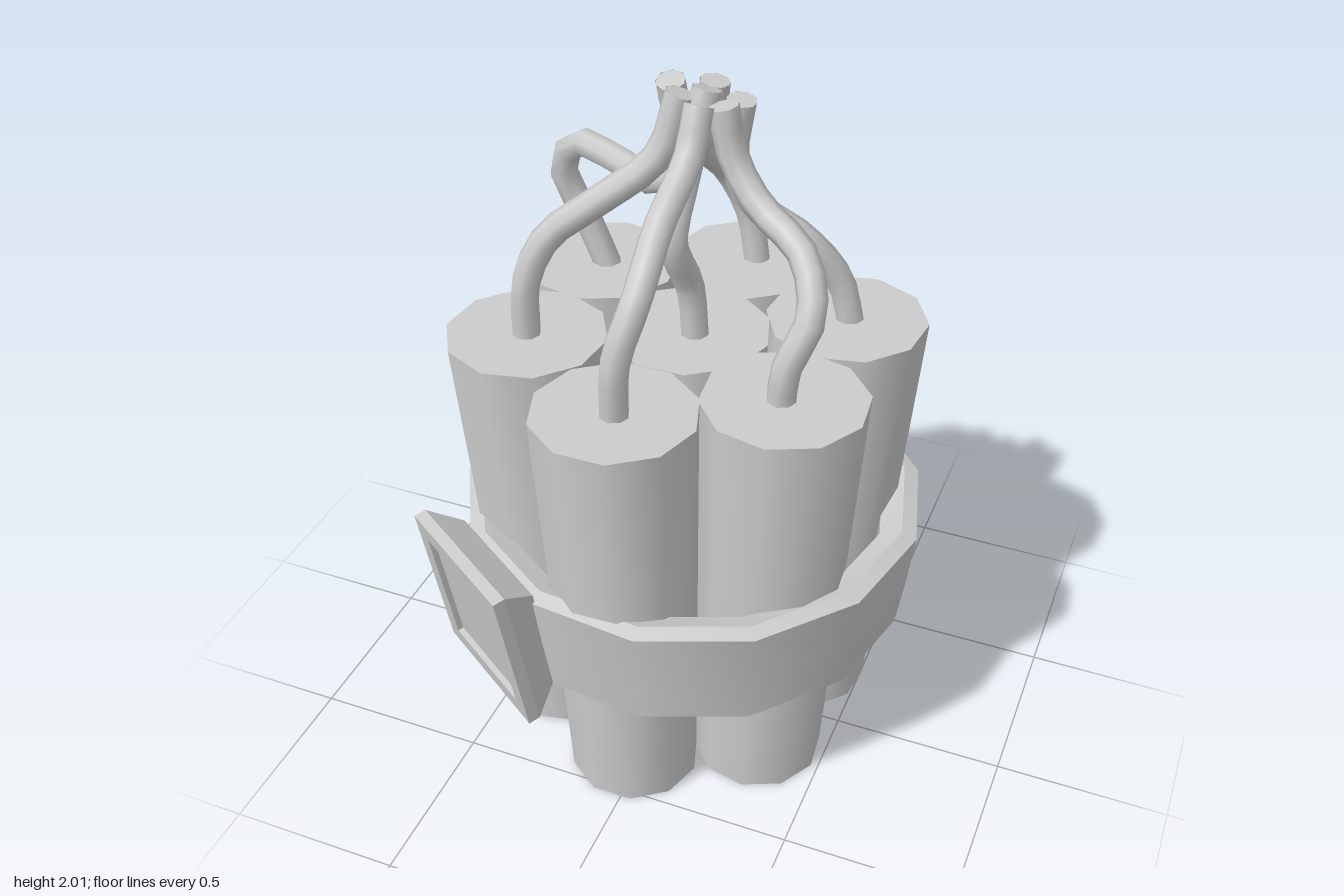
import * as THREE from 'three';
import { toCreasedNormals } from 'three/addons/utils/BufferGeometryUtils.js';

const material = new THREE.MeshStandardMaterial({ color: 0xcccccc });
const doubleMaterial = new THREE.MeshStandardMaterial({ color: 0xcccccc, side: THREE.DoubleSide });

function add(parent, name, geometry, mat = material) {
  const mesh = new THREE.Mesh(geometry, mat);
  mesh.name = name;
  parent.add(mesh);
  return mesh;
}

// Tapered ten-sided stick whose foot leans in towards the middle of the bundle
function stickGeometry(x, z, turn) {
  const height = 1.305, foot = 0.84;
  const g = new THREE.CylinderGeometry(0.225, 0.225 * foot, height, 10);
  g.rotateY(Math.PI / 10 + turn);
  g.translate(0, height / 2, 0);
  const p = g.attributes.position;
  for (let i = 0; i < p.count; i++) {
    const s = foot + (1 - foot) * p.getY(i) / height;
    p.setX(i, p.getX(i) + x * s);
    p.setZ(i, p.getZ(i) + z * s);
  }
  return g;
}

// Bent wire with a closed upper end
function addWire(parent, points) {
  const curve = new THREE.CatmullRomCurve3(points.map(p => new THREE.Vector3(...p)));
  const wire = new THREE.Group();
  wire.name = 'wire';
  add(wire, 'wireTube', new THREE.TubeGeometry(curve, 14, 0.04, 8), doubleMaterial);
  const cap = add(wire, 'wireEnd', new THREE.CircleGeometry(0.04, 8), doubleMaterial);
  const end = curve.getPoint(1);
  cap.position.copy(end);
  cap.lookAt(end.clone().add(curve.getTangent(1)));
  parent.add(wire);
}

function rectangle(PathType, w, h) {
  const p = new PathType();
  p.moveTo(-w / 2, -h / 2);
  p.lineTo(w / 2, -h / 2);
  p.lineTo(w / 2, h / 2);
  p.lineTo(-w / 2, h / 2);
  p.closePath();
  return p;
}

export function createModel() {
  const model = new THREE.Group();
  model.name = 'stickBundle';

  // Six sticks around a central one
  const centres = [
    [-0.035, 0.41], [0.35, 0.195], [0.38, -0.235],
    [0.015, -0.43], [-0.37, -0.27], [-0.405, 0.16],
  ];
  centres.forEach(([x, z], i) => add(model, 'stick', stickGeometry(x, z, i * Math.PI / 3)));
  add(model, 'centreStick', stickGeometry(0, -0.02, 0));

  // Flared strap with thirteen sides
  const profile = [
    [0.54, 0.45], [0.6, 0.43], [0.632, 0.415], [0.655, 0.58],
    [0.672, 0.735], [0.63, 0.75], [0.565, 0.725], [0.54, 0.45],
  ].map(p => new THREE.Vector2(...p));
  const strapGeometry = new THREE.LatheGeometry(profile, 13, THREE.MathUtils.degToRad(174));
  const strap = add(model, 'strap', toCreasedNormals(strapGeometry, 0.6), doubleMaterial);
  strap.position.z = -0.05;

  // Buckle: framed plate on a tapered block, tilted like the strap
  const buckle = new THREE.Group();
  buckle.name = 'buckle';
  const frameShape = rectangle(THREE.Shape, 0.45, 0.49);
  frameShape.holes.push(rectangle(THREE.Path, 0.34, 0.38));
  const frame = add(buckle, 'buckleFrame',
    new THREE.ExtrudeGeometry(frameShape, { depth: 0.035, bevelEnabled: false }));
  frame.position.z = -0.035;
  const panel = add(buckle, 'bucklePanel', new THREE.BoxGeometry(0.36, 0.4, 0.02));
  panel.position.z = -0.027;
  const blockGeometry = new THREE.BoxGeometry(0.45, 0.49, 0.09);
  const bp = blockGeometry.attributes.position;
  for (let i = 0; i < bp.count; i++) {
    if (bp.getZ(i) < 0) bp.setXYZ(i, bp.getX(i) * 0.85, bp.getY(i) * 0.68, bp.getZ(i));
  }
  blockGeometry.computeVertexNormals();
  add(buckle, 'buckleBlock', blockGeometry).position.z = -0.08;
  buckle.position.set(-0.427, 0.577, 0.553);
  buckle.rotation.order = 'YXZ';
  buckle.rotation.set(0.16, -0.588, 0);
  model.add(buckle);

  // Wires rising from the sticks and gathering at the top
  const wires = [
    [[-0.03, 1.28, 0.42], [-0.02, 1.47, 0.425], [0.015, 1.62, 0.37], [0.02, 1.76, 0.23], [0.035, 1.87, 0.08], [0.04, 1.99, 0.02]],
    [[-0.405, 1.28, 0.16], [-0.395, 1.47, 0.16], [-0.34, 1.6, 0.13], [-0.22, 1.7, 0.08], [-0.08, 1.82, 0], [-0.03, 1.99, -0.03]],
    [[0.34, 1.28, 0.2], [0.35, 1.4, 0.2], [0.395, 1.54, 0.15], [0.34, 1.66, 0.07], [0.2, 1.74, 0.01], [0.12, 1.84, -0.02], [0.09, 1.98, -0.02]],
    [[0.39, 1.28, -0.24], [0.355, 1.42, -0.23], [0.26, 1.56, -0.18], [0.13, 1.66, -0.14], [0.085, 1.8, -0.12], [0.105, 1.96, -0.11]],
    [[0.04, 1.28, -0.45], [0.01, 1.45, -0.45], [-0.04, 1.6, -0.4], [-0.075, 1.74, -0.25], [-0.08, 1.86, -0.14], [-0.085, 1.985, -0.1]],
    [[-0.35, 1.28, -0.27], [-0.41, 1.43, -0.265], [-0.475, 1.59, -0.25], [-0.42, 1.69, -0.23], [-0.28, 1.69, -0.18], [-0.13, 1.67, -0.13], [-0.05, 1.76, -0.12], [0.01, 1.88, -0.13], [0.025, 1.99, -0.13]],
    [[0.02, 1.28, -0.01], [0.01, 1.45, 0], [-0.01, 1.62, 0.07], [0, 1.78, 0.01], [0.03, 2, -0.06]],
  ];
  wires.forEach(points => addWire(model, points));

  return model;
}
